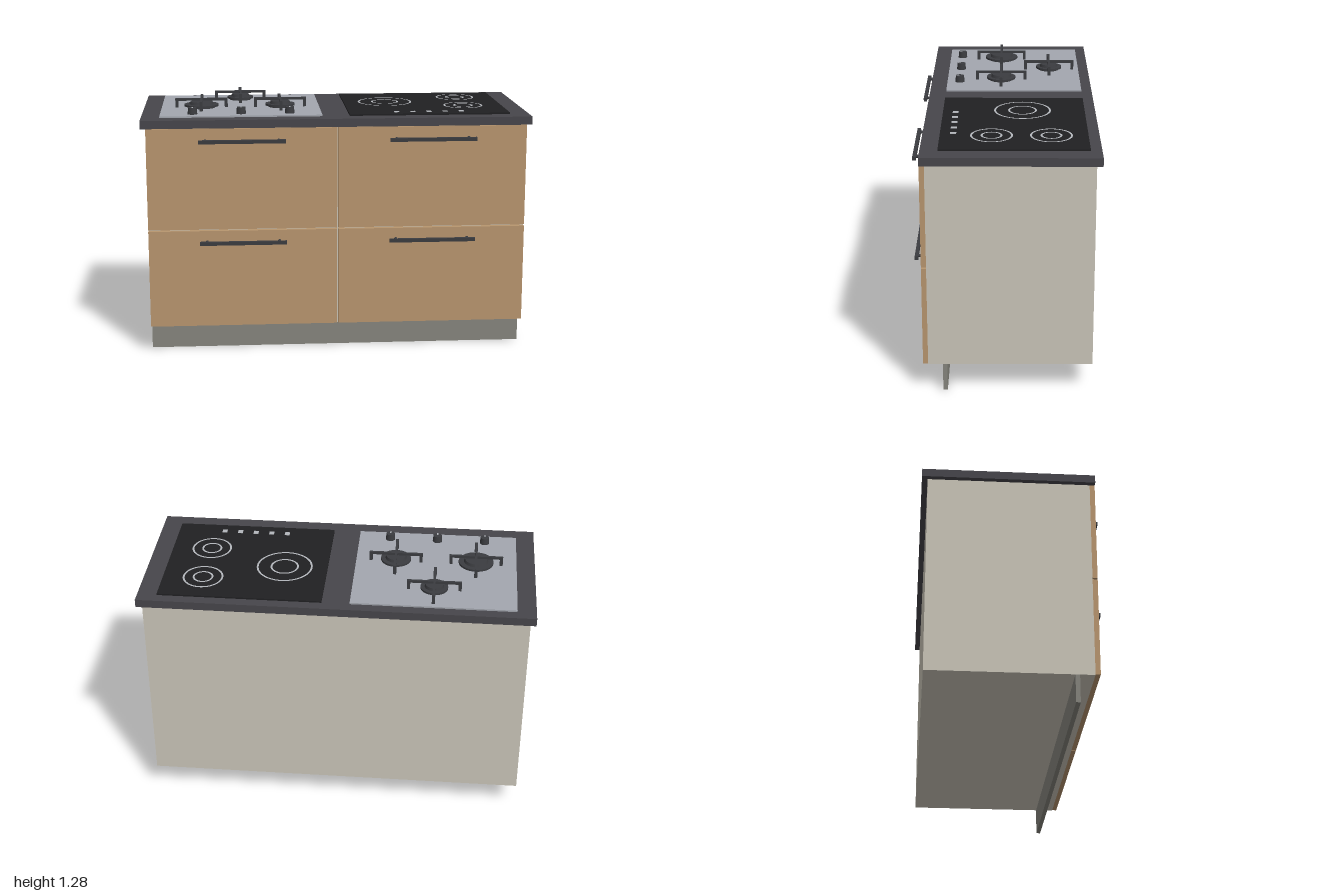
import * as THREE from 'three';

const mat = (name, color) => {
  const m = new THREE.MeshStandardMaterial({ color });
  m.name = name;
  return m;
};

export function createModel() {
  const wood = mat('wood', 0xb8966f);
  const carcass = mat('cabinet beige', 0xcbc6b9);
  const plinthGrey = mat('plinth grey', 0x86857d);
  const stone = mat('worktop', 0x47464b);
  const steel = mat('steel', 0xa3a7af);
  const glass = mat('black glass', 0x202022);
  const iron = mat('cast iron', 0x3b3c40);
  const marking = mat('marking', 0xb4b7bc);

  const root = new THREE.Group();
  root.name = 'kitchenUnit';

  const group = (name, x = 0, y = 0, z = 0) => {
    const g = new THREE.Group();
    g.name = name;
    g.position.set(x, y, z);
    root.add(g);
    return g;
  };
  const add = (parent, name, geo, material, x = 0, y = 0, z = 0) => {
    const m = new THREE.Mesh(geo, material);
    m.name = name;
    m.position.set(x, y, z);
    parent.add(m);
    return m;
  };
  // Box given by its limits on each axis
  const box = (parent, name, material, x0, x1, y0, y1, z0, z1) =>
    add(parent, name, new THREE.BoxGeometry(x1 - x0, y1 - y0, z1 - z0), material,
      (x0 + x1) / 2, (y0 + y1) / 2, (z0 + z1) / 2);
  const disc = (parent, name, material, r0, r1, y0, y1) =>
    add(parent, name, new THREE.CylinderGeometry(r1, r0, y1 - y0, 32), material, 0, (y0 + y1) / 2, 0);

  // Cabinet, plinth and worktop
  box(root, 'cabinet', carcass, -0.973, 0.973, 0.142, 1.185, -0.427, 0.383);
  box(root, 'plinth', plinthGrey, -0.973, 0.973, 0, 0.142, 0.288, 0.31);
  box(root, 'worktop', stone, -1, 1, 1.185, 1.227, -0.455, 0.408);

  // Four drawer fronts with bar handles
  for (const side of [-1, 1]) {
    for (const [y0, y1, hy] of [[0.145, 0.652, 0.595], [0.66, 1.184, 1.122]]) {
      const a = side * 0.003, b = side * 0.973;
      box(root, 'drawerFront', wood, Math.min(a, b), Math.max(a, b), y0, y1, 0.383, 0.408);
      const handle = group('handle', side * 0.487, hy, 0);
      box(handle, 'handleBar', iron, -0.222, 0.222, -0.009, 0.009, 0.438, 0.456);
      for (const x of [-0.186, 0.186]) {
        const post = add(handle, 'handlePost', new THREE.CylinderGeometry(0.008, 0.008, 0.034, 16), iron, x, 0, 0.424);
        post.rotation.x = Math.PI / 2;
      }
    }
  }

  // Hob plates
  const top = 1.235;
  box(root, 'gasPlate', steel, -0.905, -0.073, 1.227, top, -0.4, 0.322);
  box(root, 'glassPlate', glass, 0.068, 0.9, 1.227, top, -0.4, 0.322);

  // Gas burners, each under a cross-shaped pan support
  for (const [x, z, r] of [[-0.695, 0.03, 0.09], [-0.28, 0.03, 0.078], [-0.488, -0.235, 0.07]]) {
    const burner = group('burner', x, top, z);
    disc(burner, 'burnerBase', iron, r * 0.8, r * 0.8, 0, 0.008);
    disc(burner, 'burnerRing', iron, r, r, 0.008, 0.018);
    disc(burner, 'burnerCap', iron, r * 0.7, r * 0.64, 0.018, 0.032);
    box(burner, 'supportBarX', iron, -0.138, 0.138, 0.036, 0.049, -0.006, 0.006);
    box(burner, 'supportBarZ', iron, -0.006, 0.006, 0.036, 0.049, -0.138, 0.138);
    for (const [dx, dz] of [[1, 0], [-1, 0], [0, 1], [0, -1]]) {
      const cx = dx * 0.13, cz = dz * 0.13;
      box(burner, 'supportLeg', iron, cx - 0.008, cx + 0.008, 0, 0.048, cz - 0.008, cz + 0.008);
    }
  }

  // Gas control knobs with a pointer mark
  for (const x of [-0.738, -0.488, -0.238]) {
    const knob = group('knob', x, top, 0.254);
    disc(knob, 'knobBody', iron, 0.025, 0.022, 0, 0.034);
    box(knob, 'knobPointer', marking, -0.003, 0.003, 0.034, 0.036, 0.002, 0.02);
  }

  // Cooking zone rings on the glass
  const ring = (x, z, r) => {
    const m = add(root, 'zoneRing', new THREE.RingGeometry(r - 0.01, r, 64), marking, x, top + 0.002, z);
    m.rotation.x = -Math.PI / 2;
  };
  for (const [x, z, r] of [[0.29, -0.083, 0.145], [0.694, -0.22, 0.104], [0.694, 0.07, 0.104]]) {
    ring(x, z, r);
    ring(x, z, r / 2 + 0.001);
  }

  // Touch keys
  for (let i = 0; i < 5; i++) {
    const x = 0.317 + i * 0.0845;
    box(root, 'touchKey', marking, x - 0.013, x + 0.013, top, top + 0.002, 0.242, 0.272);
  }

  return root;
}
